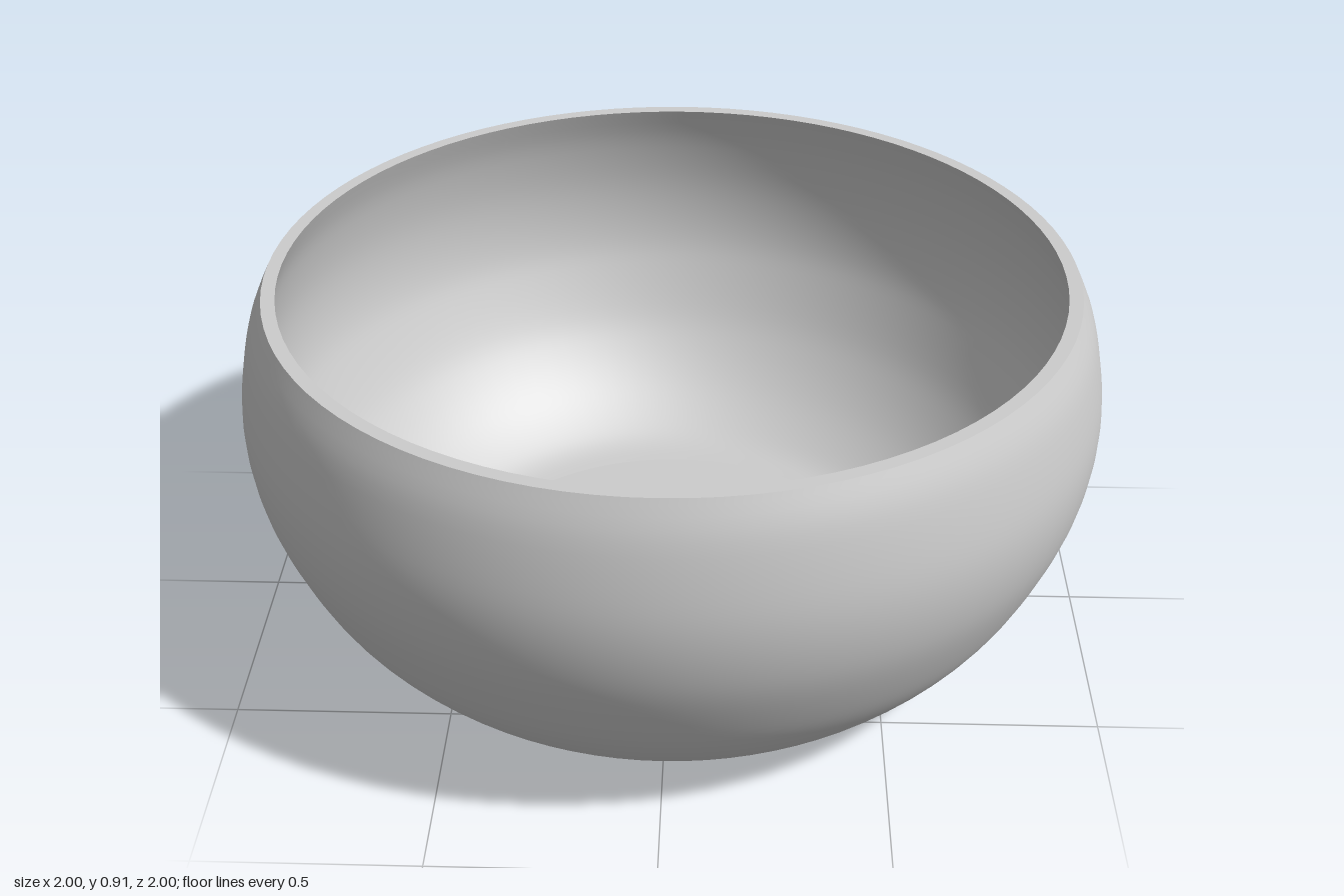
import * as THREE from 'three';

const SEGMENTS = 96;

// Smooth profile through [radius, height] points
function profile(points, divisions) {
  const curve = new THREE.SplineCurve(points.map(([r, y]) => new THREE.Vector2(r, y)));
  return curve.getPoints(divisions);
}

export function createModel() {
  const bowl = new THREE.Group();
  bowl.name = 'bowl';
  const clay = new THREE.MeshStandardMaterial({ color: 0xcccccc });
  clay.name = 'plain grey';

  function addLathe(name, points) {
    const mesh = new THREE.Mesh(new THREE.LatheGeometry(points, SEGMENTS), clay);
    mesh.name = name;
    bowl.add(mesh);
  }

  // Rounded outer wall, leaning in towards the rim
  const outer = profile([
    [0.55, 0], [0.61, 0.008], [0.67, 0.033], [0.74, 0.08], [0.8, 0.137], [0.86, 0.21],
    [0.91, 0.292], [0.96, 0.405], [0.988, 0.5], [1, 0.6], [0.994, 0.7], [0.968, 0.825], [0.932, 0.91],
  ], 48);
  addLathe('outerWall', outer);

  // Inner wall runs parallel to the outer wall, from the rim down to the floor
  const inner = profile([
    [0.9, 0.91], [0.936, 0.815], [0.96, 0.7], [0.965, 0.6], [0.954, 0.505], [0.927, 0.42],
    [0.88, 0.31], [0.832, 0.232], [0.776, 0.163], [0.718, 0.109], [0.654, 0.064], [0.603, 0.042], [0.55, 0.035],
  ], 48);
  addLathe('innerWall', inner);

  // Flat rim joining the two walls
  addLathe('rim', [outer[outer.length - 1], inner[0]]);

  // Flat floor inside and flat base underneath
  for (const [name, y, turn] of [['floor', 0.035, -1], ['base', 0, 1]]) {
    const disc = new THREE.Mesh(new THREE.CircleGeometry(0.55, SEGMENTS), clay);
    disc.name = name;
    disc.rotation.x = turn * Math.PI / 2;
    disc.position.y = y;
    bowl.add(disc);
  }

  return bowl;
}
